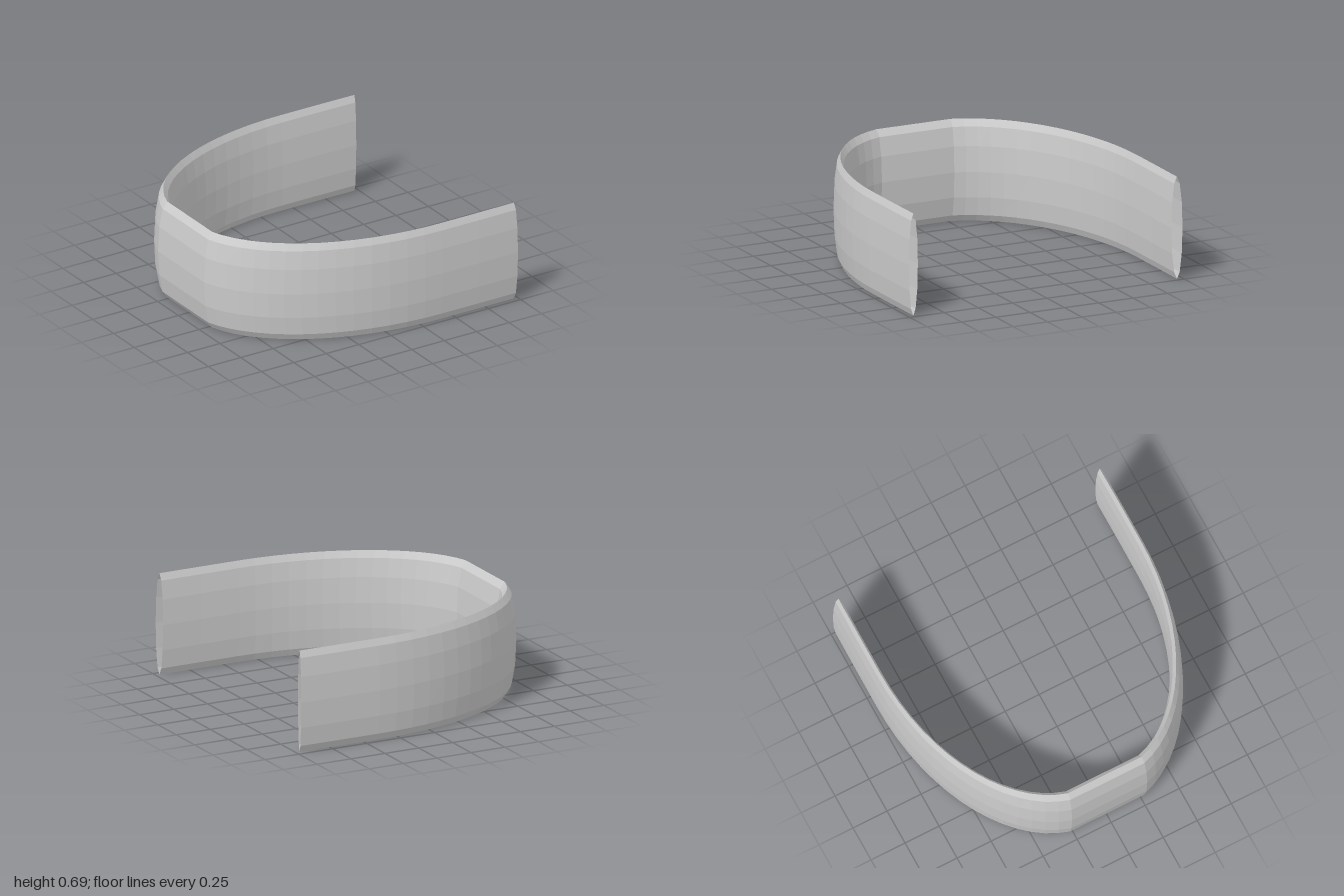
import * as THREE from 'three';

const SIDES = 12, ARC_STEPS = 15;
const HALF_HEIGHT = 0.345;
const HALF_X = 0.067, HALF_Z = 0.0365; // half thickness at the closed end and at the arms

// Elliptical corner from the arm to the flat closed end, which it meets at a slight angle
const ARM = { x: 0.4, z: 0.962 }, BASE = { x: -0.913, z: 0.27 };
const SWEEP = THREE.MathUtils.degToRad(80);
const RX = (ARM.x - BASE.x) / Math.sin(SWEEP);
const RZ = (ARM.z - BASE.z) / (1 - Math.cos(SWEEP));

// Stations along one half of the band, from the open end to the closed end:
// centre (x, z), outward direction (nx, nz) and end slant
function halfPath() {
  const stations = [
    { x: 0.973, z: 0.96, nx: 0, nz: 1, slant: 0.008 },
    { x: 0.68, z: 0.962, nx: 0, nz: 1, slant: 0 },
  ];
  for (let i = 0; i <= ARC_STEPS; i++) {
    const a = (i / ARC_STEPS) * SWEEP;
    const nx = -Math.sin(a), nz = Math.cos(a);
    stations.push({ x: ARM.x + RX * nx, z: ARM.z - RZ * (1 - nz), nx, nz, slant: 0 });
  }
  return stations;
}

// Sweep the tall oval section along the stations
function sweep(stations) {
  const positions = [], indices = [];
  for (const s of stations) {
    for (let j = 0; j < SIDES; j++) {
      const t = (j / SIDES) * Math.PI * 2, w = Math.cos(t);
      positions.push(
        s.x + w * (s.nx * HALF_X + s.slant),
        HALF_HEIGHT * (1 + Math.sin(t)),
        s.z + w * s.nz * HALF_Z
      );
    }
  }
  for (let i = 0; i < stations.length - 1; i++) {
    for (let j = 0; j < SIDES; j++) {
      const a = i * SIDES + j, b = i * SIDES + (j + 1) % SIDES;
      indices.push(a, b, a + SIDES, b, b + SIDES, a + SIDES);
    }
  }
  const geometry = new THREE.BufferGeometry();
  geometry.setAttribute('position', new THREE.Float32BufferAttribute(positions, 3));
  geometry.setIndex(indices);
  geometry.computeVertexNormals();
  return geometry;
}

export function createModel() {
  const group = new THREE.Group();
  group.name = 'cuff';

  // Mirror the front half in z to complete the U-shaped path
  const front = halfPath();
  const back = front.map(s => ({ ...s, z: -s.z, nz: -s.nz })).reverse();

  // Hollow band, open at both arm ends
  const material = new THREE.MeshStandardMaterial({
    color: 0xcccccc, flatShading: true, side: THREE.DoubleSide,
  });
  const band = new THREE.Mesh(sweep([...front, ...back]), material);
  band.name = 'band';
  group.add(band);
  return group;
}
